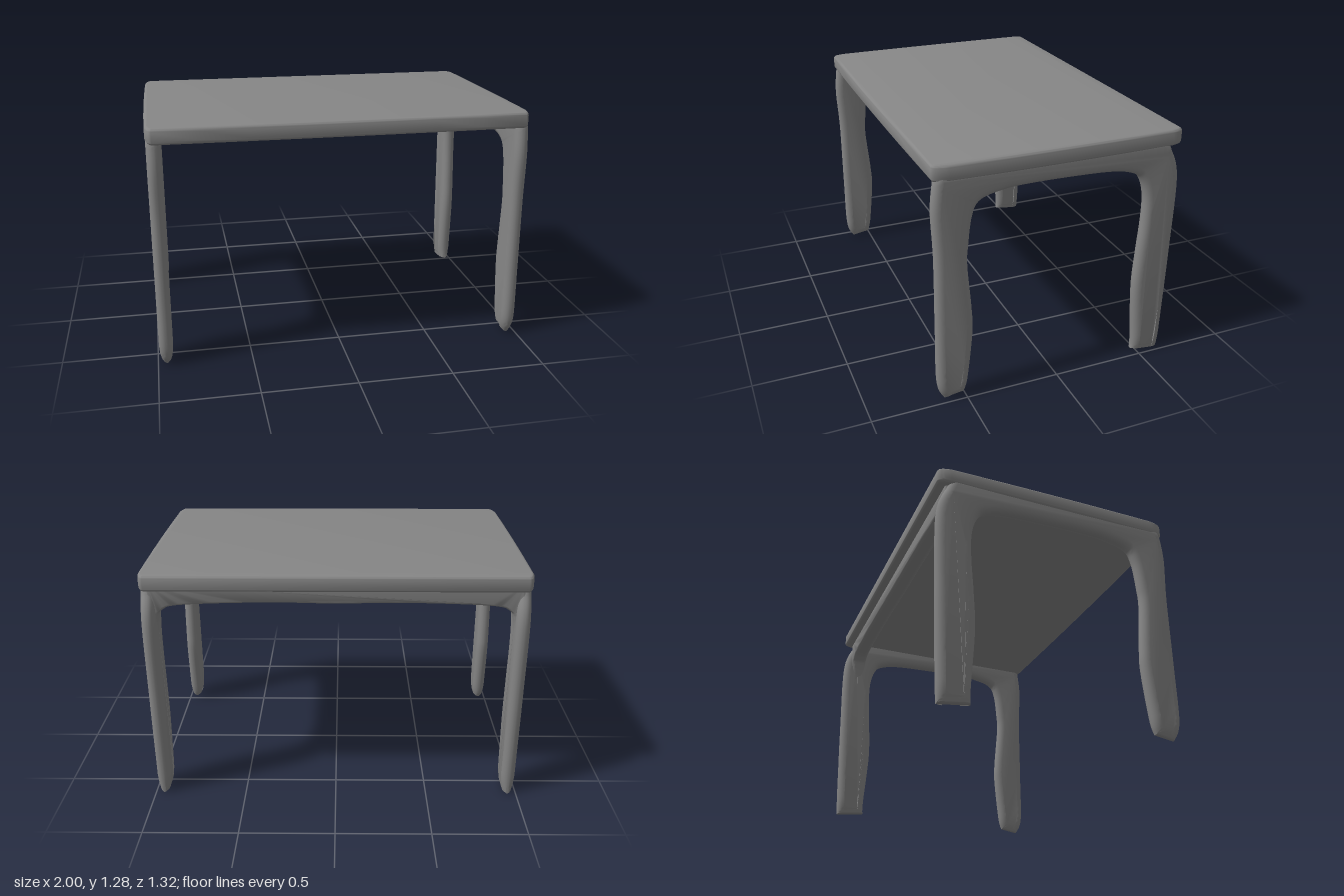
import * as THREE from 'three';
import { toCreasedNormals } from 'three/addons/utils/BufferGeometryUtils.js';

const material = new THREE.MeshStandardMaterial({ color: 0x868686 });
const vecs = (pts) => pts.map(([x, y]) => new THREE.Vector2(x, y));

// Extrusion with fully rounded edges, centred on its own thickness
function softSlab(shape, thickness, bevelSize, bevelThickness) {
  const depth = thickness - 2 * bevelThickness;
  const geo = new THREE.ExtrudeGeometry(shape, {
    depth, bevelSize, bevelThickness, bevelOffset: -bevelSize,
    bevelSegments: 5, curveSegments: 8,
  });
  return geo.translate(0, 0, -depth / 2);
}

// Narrow the lowest part of the legs towards the floor
function taperFeet(geo) {
  const pos = geo.attributes.position;
  for (let i = 0; i < pos.count; i++) {
    const t = Math.max(0, 1 - pos.getY(i) / 0.12);
    pos.setZ(i, pos.getZ(i) * (1 - 0.4 * t * t));
  }
  return geo;
}

function addMesh(group, name, geo) {
  const mesh = new THREE.Mesh(geo, material);
  mesh.name = name;
  group.add(mesh);
  return mesh;
}

// Table top outline: slightly bowed rectangle with small rounded corners
function topShape() {
  const s = new THREE.Shape();
  s.moveTo(-0.96, 0.65);
  s.quadraticCurveTo(0, 0.665, 0.96, 0.65);
  s.quadraticCurveTo(0.985, 0.645, 0.994, 0.57);
  s.quadraticCurveTo(1.004, 0, 0.994, -0.59);
  s.quadraticCurveTo(0.985, -0.655, 0.96, -0.658);
  s.lineTo(-0.96, -0.658);
  s.quadraticCurveTo(-0.985, -0.655, -0.994, -0.59);
  s.quadraticCurveTo(-1.004, 0, -0.994, 0.57);
  s.quadraticCurveTo(-0.985, 0.645, -0.96, 0.65);
  return s;
}

// Side frame outline (z, y): two wavy legs flowing into a side rail
function sideShape() {
  const s = new THREE.Shape();
  s.moveTo(0.61, 0.002);
  s.splineThru(vecs([[0.647, 0.1], [0.648, 0.4], [0.646, 0.8], [0.655, 1.05], [0.64, 1.2]]));
  s.lineTo(0.62, 1.24);
  s.lineTo(-0.58, 1.24);
  s.lineTo(-0.605, 1.18);
  s.splineThru(vecs([[-0.655, 1.02], [-0.65, 0.6], [-0.64, 0.25], [-0.635, 0.1], [-0.63, 0.002]]));
  s.lineTo(-0.465, 0.02);
  s.splineThru(vecs([[-0.466, 0.1], [-0.447, 0.4], [-0.455, 0.6], [-0.469, 0.8], [-0.467, 0.94],
    [-0.437, 1.04], [-0.385, 1.08], [-0.26, 1.105], [0, 1.115], [0.2, 1.115], [0.3, 1.107],
    [0.415, 1.075], [0.455, 1.0], [0.475, 0.85], [0.48, 0.74], [0.46, 0.5], [0.457, 0.36],
    [0.485, 0.1], [0.505, 0.02]]));
  return s;
}

// Back rail outline (x, y) with curved brackets running down into the legs
function backRailShape() {
  const s = new THREE.Shape();
  const half = [[0.92, 0.93], [0.91, 1.03], [0.885, 1.08], [0.78, 1.108], [0.35, 1.122]];
  s.moveTo(0.96, 0.9);
  s.lineTo(0.96, 1.24);
  s.lineTo(-0.96, 1.24);
  s.lineTo(-0.96, 0.9);
  s.lineTo(-0.92, 0.93);
  s.splineThru(vecs([...half.slice(1).map(([x, y]) => [-x, y]), [0, 1.117], ...half.slice().reverse()]));
  return s;
}

export function createModel() {
  const group = new THREE.Group();
  group.name = 'table';

  const topSlab = softSlab(topShape(), 0.084, 0.016, 0.02).rotateX(Math.PI / 2);
  addMesh(group, 'tableTop', toCreasedNormals(topSlab, 0.8)).position.y = 1.242;

  // Matching leg frames at the two ends
  const frame = taperFeet(softSlab(sideShape(), 0.074, 0.04, 0.036)).rotateY(-Math.PI / 2);
  const side = toCreasedNormals(frame, 0.8);
  addMesh(group, 'leftLegFrame', side).position.x = 0.954;
  addMesh(group, 'rightLegFrame', side).position.x = -0.954;

  // Only the back carries a long rail; the front stays open
  const rail = toCreasedNormals(softSlab(backRailShape(), 0.09, 0.015, 0.03), 0.8);
  addMesh(group, 'backRail', rail).position.z = -0.565;
  return group;
}
